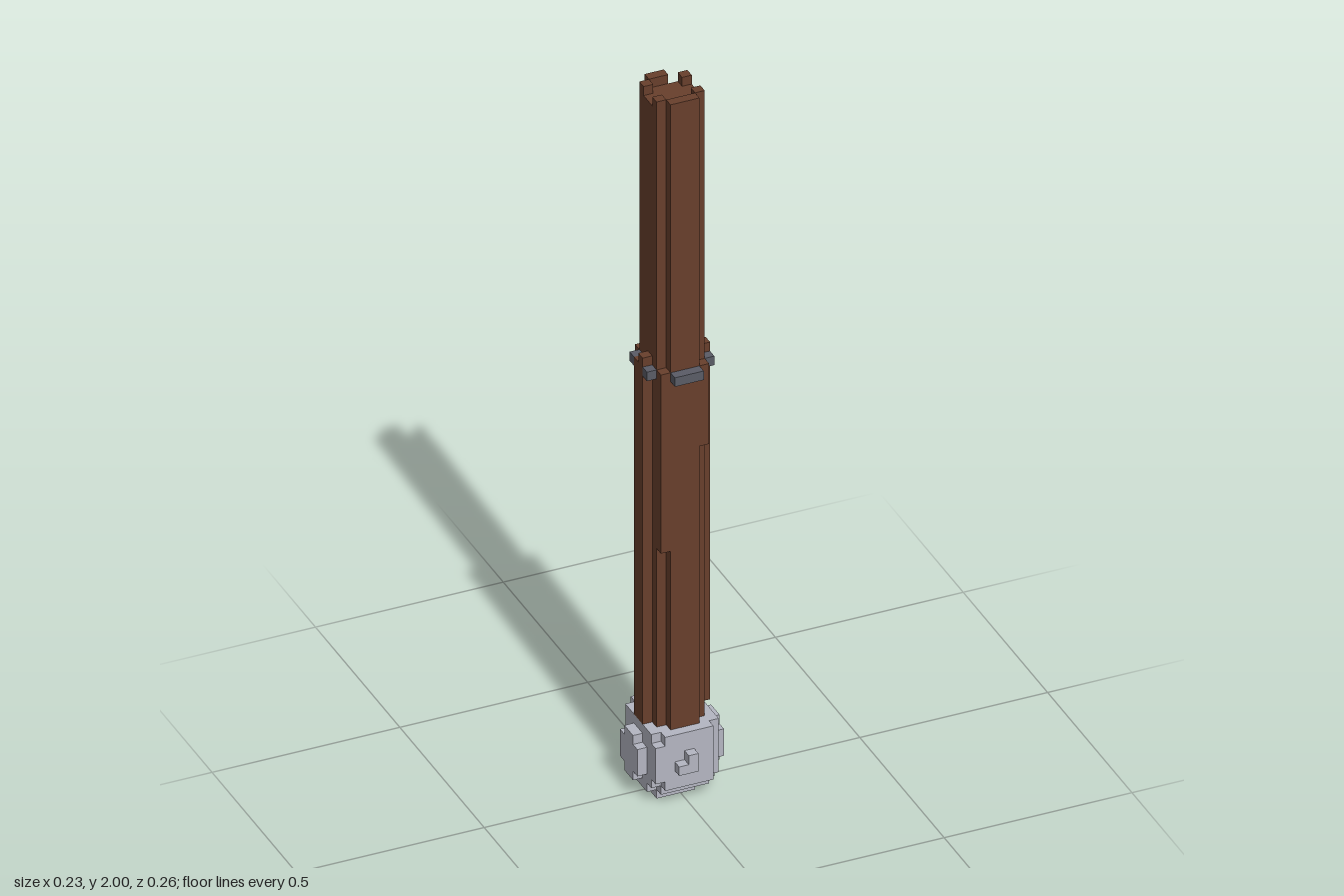
import * as THREE from 'three';

const V = 2 / 78; // edge length of one block

export function createModel() {
  const root = new THREE.Group();
  root.name = 'club';
  const mat = (name, color) => {
    const m = new THREE.MeshStandardMaterial({ color });
    m.name = name;
    return m;
  };
  const wood = mat('brown wood', 0x683f2c);
  const steel = mat('light steel', 0xb4b6c2);
  const iron = mat('dark iron', 0x5a5c66);

  // Boxes are given as block coordinates: x0, x1, y0, y1, z0, z1
  const add = (name, material, boxes) => {
    const part = new THREE.Group();
    part.name = name;
    for (const [x0, x1, y0, y1, z0, z1] of boxes) {
      const g = new THREE.BoxGeometry((x1 - x0) * V, (y1 - y0) * V, (z1 - z0) * V);
      g.translate(((x0 + x1) / 2) * V, ((y0 + y1) / 2) * V, ((z0 + z1) / 2) * V);
      const mesh = new THREE.Mesh(g, material);
      mesh.name = name;
      part.add(mesh);
    }
    root.add(part);
  };

  // Rounded pommel
  add('pommel', steel, [
    [-2.5, 1.5, 0, 1, -2, 2],
    [-3.5, 3.5, 1, 2, -2, 2],
    [-2.5, 2.5, 1, 2, -3, 3],
    [-3.5, 3.5, 2, 8, -3, 3],
    [-2.5, 2.5, 2, 8, -4, 4],
    [-3.5, -2.5, 3, 7, 3, 4],
    [-4.5, 4.5, 3, 6, -2, 2],
    [-4.5, 4.5, 2, 7, -1, 1],
  ]);
  add('pommelStuds', steel, [
    [-1.5, 0.5, 4, 5, 4, 5],
    [-0.5, 0.5, 5, 6, 4, 5],
    [-0.5, 0.5, 4, 5, -5, -4],
  ]);

  // Shaft core with a raised rim around a sunken top
  add('shaft', wood, [
    [-1.5, 1.5, 8, 77, -2, 2],
    [-2.5, 2.5, 8, 77, -1, 1],
    [-1.5, 1.5, 8, 78, 2, 3],
    [-1.5, 0.5, 8, 78, -3, -2],
    [0.5, 1.5, 8, 72, -3, -2],
  ]);
  const rim = [];
  for (const s of [-1, 1]) for (const t of [-1, 1])
    rim.push([s * 2 - 0.5, s * 2 + 0.5, 8, 78, t * 1.5 - 0.5, t * 1.5 + 0.5]);
  add('shaftCorners', wood, rim);

  // Splints on the sides and corners of the lower grip
  add('gripSplints', wood, [
    [2.5, 3.5, 9, 49, 0, 1],
    [2.5, 3.5, 12, 48, -1, 0],
    [-3.5, -2.5, 8, 49, 0, 1],
    [-3.5, -2.5, 8, 48, -1, 0],
    [-2.5, -1.5, 28, 48, 2, 3],
    [1.5, 2.5, 39, 48, 2, 3],
    [-2.5, -1.5, 44, 48, -3, -2],
  ]);

  // Iron band
  const band = [[1.5, 2.5, 47, 48, -3, -2]];
  for (const t of [-1, 1]) {
    band.push([-1.5, 1.5, 47, 48, t * 3.5 - 0.5, t * 3.5 + 0.5]);
    for (const s of [-1, 1])
      band.push([s * 3 - 0.5, s * 3 + 0.5, 47, 48, t * 1.5 - 0.5, t * 1.5 + 0.5]);
  }
  add('ironBand', iron, band);

  return root;
}
